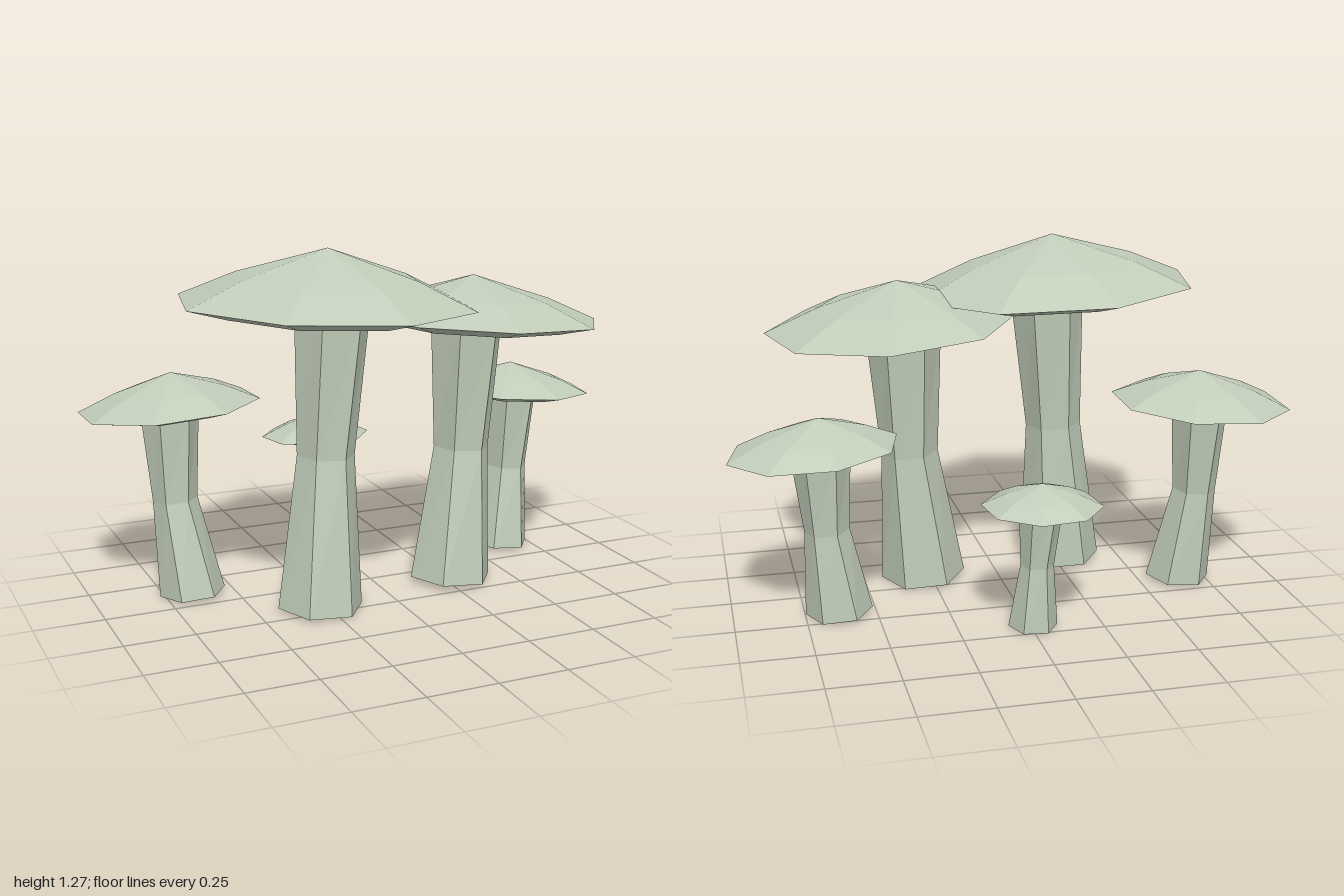
import * as THREE from 'three';

const sage = new THREE.MeshStandardMaterial({ color: 0xc0ccb8, flatShading: true });
sage.name = 'sage';

// Skins rings listed from bottom to top; a ring of scale zero closes an end.
function loft(name, rings) {
  const pos = [];
  const tri = (a, b, c) => {
    if (a.distanceTo(b) > 1e-6 && b.distanceTo(c) > 1e-6 && a.distanceTo(c) > 1e-6) {
      for (const p of [a, b, c]) pos.push(p.x, p.y, p.z);
    }
  };
  for (let k = 0; k < rings.length - 1; k++) {
    const lo = rings[k], hi = rings[k + 1], n = lo.length;
    for (let i = 0; i < n; i++) {
      const j = (i + 1) % n;
      tri(lo[i], hi[i], lo[j]);
      tri(hi[i], hi[j], lo[j]);
    }
  }
  const geo = new THREE.BufferGeometry();
  geo.setAttribute('position', new THREE.Float32BufferAttribute(pos, 3));
  geo.computeVertexNormals();
  const mesh = new THREE.Mesh(geo, sage);
  mesh.name = name;
  return mesh;
}

// Eight-sided cap: underside, rim, shoulder and peak, leaning by the tilt slopes.
function makeCap({ peak, rim, rimY, tilt }, drop) {
  const [px, top, pz] = peak;
  const [cx, cz, rx, rz, phase] = rim;
  const ring = (s, y) => Array.from({ length: 8 }, (_, i) => {
    const a = THREE.MathUtils.degToRad(phase + i * 45);
    const dx = (cx + rx * Math.cos(a) - px) * s;
    const dz = (cz + rz * Math.sin(a) - pz) * s;
    return new THREE.Vector3(px + dx, y + tilt[0] * dx + tilt[1] * dz, pz + dz);
  });
  return loft('cap', [
    ring(0, rimY - drop), ring(0.72, rimY - drop), ring(1, rimY),
    ring(0.61, rimY + (top - rimY) * 0.48), ring(0, top),
  ]);
}

// Six-sided stem, waisted and slightly bent through its base, waist and neck centres.
function makeStem({ stemRadius, stemPath, tilt }, height) {
  const [base, waist, neck] = stemPath;
  const ring = ([x, z], y, scale, turn) => Array.from({ length: 6 }, (_, i) => {
    const a = turn + i * Math.PI / 3, r = stemRadius * scale;
    const dx = r * Math.cos(a), dz = r * Math.sin(a);
    return new THREE.Vector3(x + dx, y + tilt[0] * dx + tilt[1] * dz, z + dz);
  });
  const foot = stemRadius * Math.hypot(tilt[0], tilt[1]);
  return loft('stem', [
    ring(base, foot, 0, 0), ring(base, foot, 1, 0.1), ring(waist, height * 0.525, 0.67, 0.18),
    ring(neck, height, 0.88, 0.1), ring(neck, height, 0, 0),
  ]);
}

// rim: centre x, centre z, radius x, radius z, phase in degrees; stemPath: x, z pairs.
const mushrooms = [
  { name: 'tallMushroom', peak: [-0.23, 1.27, 0.17], rim: [-0.23, 0.155, 0.53, 0.49, -101], rimY: 1.08,
    tilt: [-0.045, 0], stemRadius: 0.153, stemPath: [[-0.275, 0.19], [-0.24, 0.165], [-0.21, 0.16]] },
  { name: 'broadMushroom', peak: [0.36, 1.135, 0.10], rim: [0.385, 0.1, 0.45, 0.435, -81], rimY: 0.98,
    tilt: [-0.065, 0.033], stemRadius: 0.154, stemPath: [[0.277, 0.11], [0.325, 0.09], [0.34, 0.09]] },
  { name: 'leftBackMushroom', peak: [-0.69, 0.813, -0.18], rim: [-0.7, -0.17, 0.325, 0.3, -112], rimY: 0.697,
    tilt: [0.06, 0.04], stemRadius: 0.118, stemPath: [[-0.65, -0.12], [-0.695, -0.15], [-0.7, -0.165]] },
  { name: 'rightBackMushroom', peak: [0.685, 0.73, -0.195], rim: [0.705, -0.2, 0.3, 0.265, -100], rimY: 0.624,
    tilt: [-0.07, 0.02], stemRadius: 0.118, stemPath: [[0.63, -0.165], [0.665, -0.177], [0.68, -0.18]] },
  { name: 'smallMushroom', peak: [-0.03, 0.53, -0.47], rim: [-0.033, -0.463, 0.21, 0.195, -121], rimY: 0.45,
    tilt: [0.01, 0.03], stemRadius: 0.086, stemPath: [[-0.01, -0.43], [-0.02, -0.445], [-0.03, -0.455]] },
];

export function createModel() {
  const model = new THREE.Group();
  model.name = 'mushroomCluster';
  for (const spec of mushrooms) {
    const group = new THREE.Group();
    group.name = spec.name;
    const drop = spec.rim[2] * 0.07;
    group.add(makeStem(spec, spec.rimY - drop + 0.005), makeCap(spec, drop));
    model.add(group);
  }
  return model;
}
